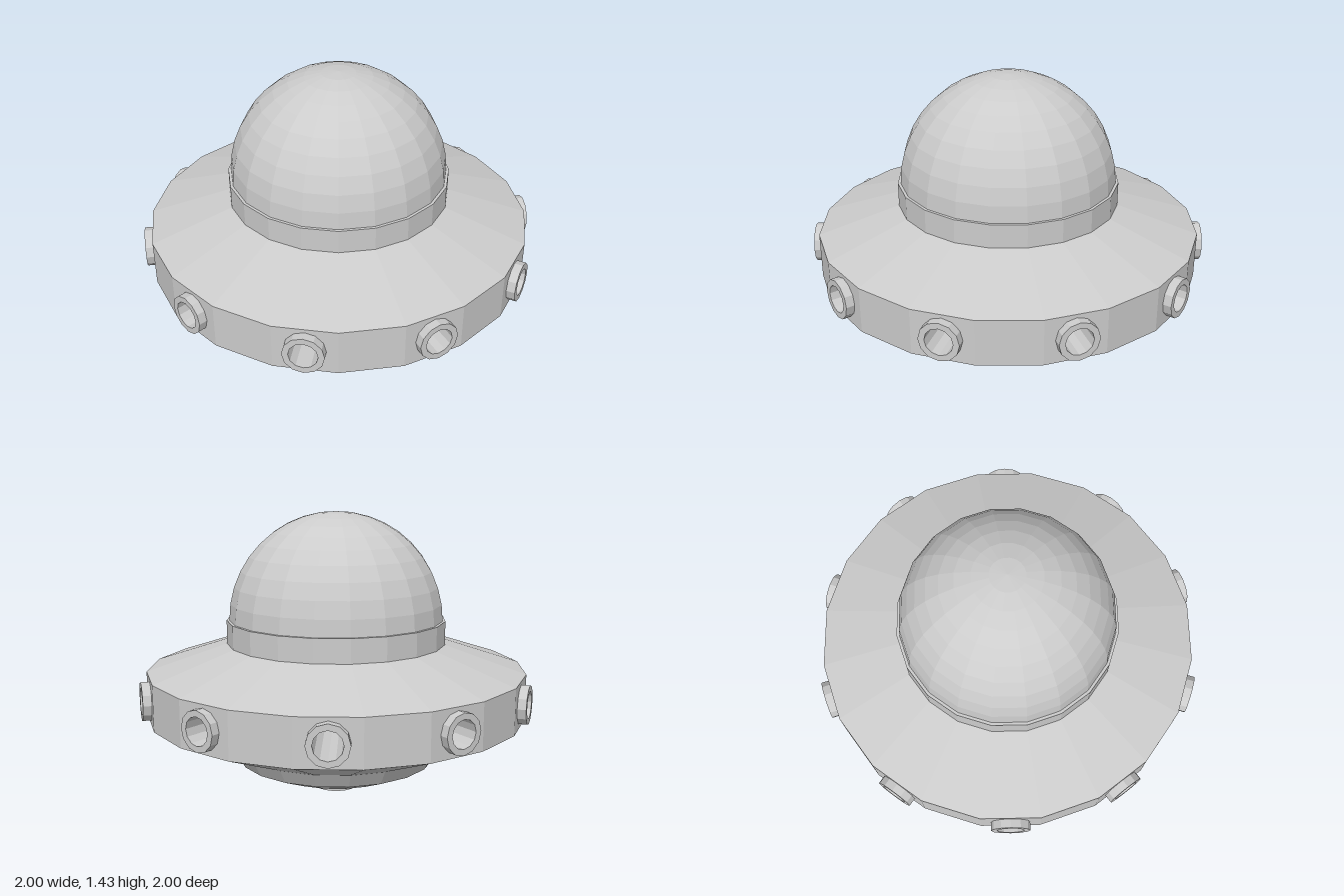
import * as THREE from 'three';

const SIDES = 20;
const material = new THREE.MeshStandardMaterial({ color: 0xcccccc, flatShading: true });

// Revolve a [radius, height] profile listed from bottom to top
function lathe(name, profile, sides = SIDES) {
  const points = profile.map(([r, y]) => new THREE.Vector2(r, y));
  const mesh = new THREE.Mesh(new THREE.LatheGeometry(points, sides), material);
  mesh.name = name;
  return mesh;
}

// Closed-walled hollow tube standing on the y axis
function pipe(name, outer, inner, y0, y1, sides) {
  return lathe(name, [[inner, y0], [outer, y0], [outer, y1], [inner, y1], [inner, y0]], sides);
}

export function createModel() {
  const model = new THREE.Group();
  model.name = 'flyingSaucer';

  const rimRadius = 0.965, rimBottom = 0.405, rimTop = 0.637;
  const portY = 0.522, portOuter = 0.098, portInner = 0.068;

  // Underside with a stepped belly, and the sloping upper deck
  model.add(lathe('lowerHull', [
    [0.1, 0.065], [0.17, 0.067], [0.34, 0.093], [0.505, 0.162], [0.55, 0.237], [rimRadius, rimBottom],
  ]));
  model.add(lathe('upperHull', [[rimRadius, rimTop], [0.55, 0.775]]));

  // Collar and glass dome
  model.add(pipe('domeCollar', 0.557, 0.54, 0.76, 0.892, SIDES));
  const dome = [];
  for (let i = 0; i <= 10; i++) {
    const a = (i / 10) * Math.PI / 2;
    dome.push([0.543 * Math.cos(a), 0.89 + 0.543 * Math.sin(a)]);
  }
  model.add(lathe('dome', dome));

  // Exhaust pipe under the belly
  model.add(pipe('exhaust', 0.115, 0.085, 0, 0.5, 20));

  // Rim panels: every second one is pierced for a porthole
  const half = rimRadius * Math.sin(Math.PI / SIDES);
  const apothem = rimRadius * Math.cos(Math.PI / SIDES);
  const portholes = new THREE.Group();
  portholes.name = 'portholes';
  const rim = new THREE.Group();
  rim.name = 'rim';
  for (let i = 0; i < SIDES; i++) {
    const angle = ((i + 0.5) / SIDES) * Math.PI * 2;
    const shape = new THREE.Shape([
      new THREE.Vector2(-half, rimBottom), new THREE.Vector2(half, rimBottom),
      new THREE.Vector2(half, rimTop), new THREE.Vector2(-half, rimTop),
    ]);
    const hasPort = i % 2 === 0;
    if (hasPort) {
      const hole = new THREE.Path();
      hole.absarc(0, portY, (portOuter + portInner) / 2, 0, Math.PI * 2, true);
      shape.holes.push(hole);
    }
    const panel = new THREE.Mesh(new THREE.ShapeGeometry(shape, 6), material);
    panel.name = 'rimPanel';
    panel.geometry.translate(0, 0, apothem);
    panel.rotation.y = angle;
    rim.add(panel);

    // Deep porthole tube running in to the middle of the hull
    if (hasPort) {
      const port = pipe('porthole', portOuter, portInner, 0, 0.996, 12);
      port.geometry.rotateX(Math.PI / 2);
      port.geometry.translate(0, portY, 0);
      port.rotation.y = angle;
      portholes.add(port);
    }
  }
  model.add(rim, portholes);
  return model;
}
